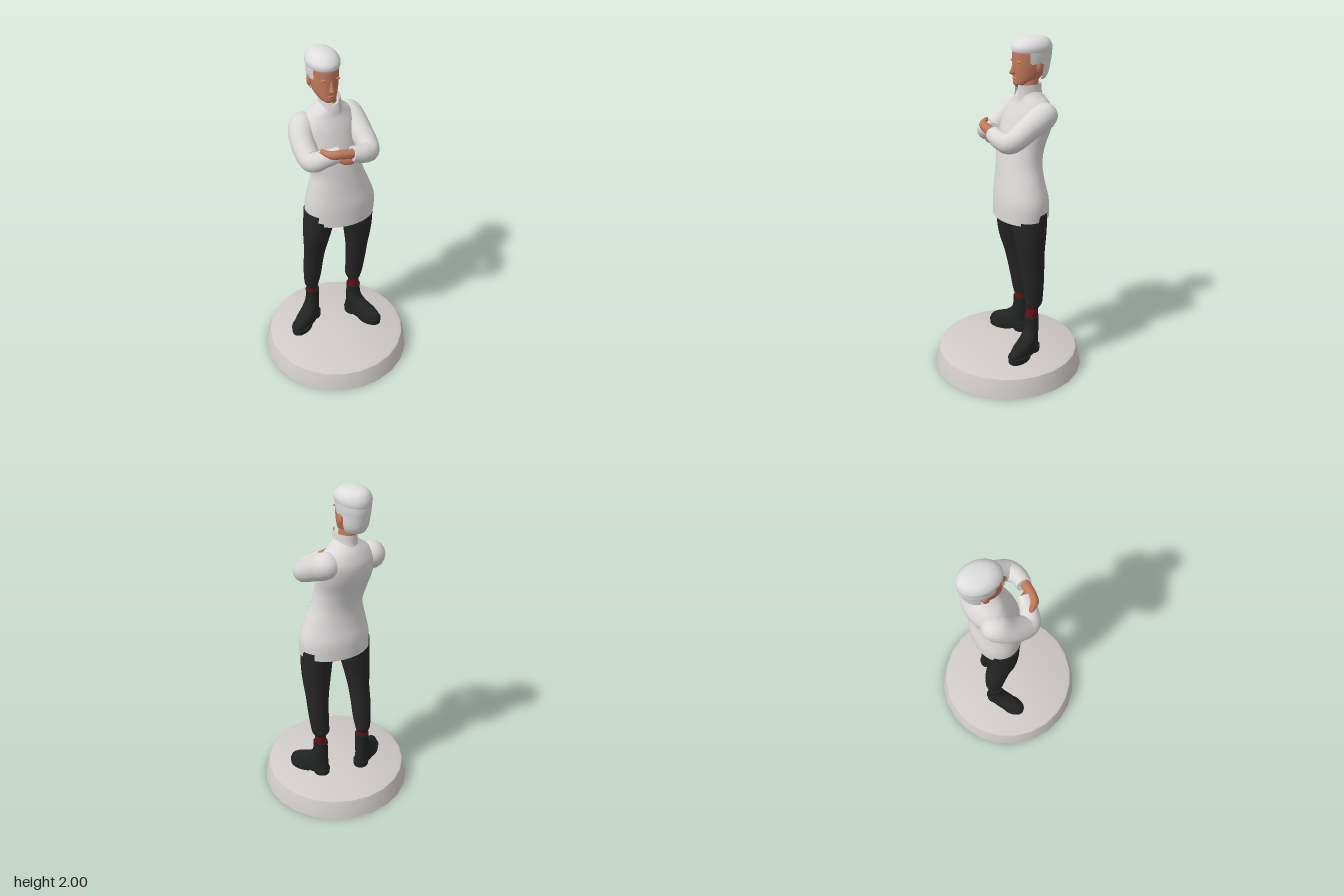
import * as THREE from 'three';
import { toCreasedNormals } from 'three/addons/utils/BufferGeometryUtils.js';

const paint = (name, color) => Object.assign(new THREE.MeshStandardMaterial({ color, side: THREE.DoubleSide }), { name });
const cloth = paint('white cloth', 0xdcdad9);
const hairGrey = paint('silver hair', 0xdedede);
const stone = paint('stone grey', 0xd0cbc9);
const skin = paint('skin', 0xc47a5c);
const black = paint('black cloth', 0x262626);
const leather = paint('black leather', 0x222323);
const red = paint('dark red', 0x6a1014);

function add(parent, name, geometry, material) {
  const mesh = new THREE.Mesh(geometry, material);
  mesh.name = name;
  parent.add(mesh);
  return mesh;
}

// Catmull-Rom interpolation of rows of numbers
function smooth(keys, n = 5) {
  const out = [];
  const at = i => keys[Math.max(0, Math.min(keys.length - 1, i))];
  for (let i = 0; i < keys.length - 1; i++) {
    for (let s = 0; s < n; s++) {
      const t = s / n;
      out.push(keys[i].map((p1, k) => {
        const p0 = at(i - 1)[k], p2 = at(i + 1)[k], p3 = at(i + 2)[k];
        return 0.5 * (2 * p1 + (p2 - p0) * t + (2 * p0 - 5 * p1 + 4 * p2 - p3) * t * t + (3 * p1 - p0 - 3 * p2 + p3) * t * t * t);
      }));
    }
  }
  out.push(keys[keys.length - 1]);
  return out;
}

// Surface through rings of points, optionally capped at both ends
function surface(rings, closed) {
  const pos = [], index = [], n = rings[0].length;
  rings.forEach(r => r.forEach(p => pos.push(p.x, p.y, p.z)));
  for (let i = 0; i < rings.length - 1; i++) {
    for (let j = 0; j < (closed ? n : n - 1); j++) {
      const a = i * n + j, b = i * n + (j + 1) % n;
      index.push(a, b, b + n, a, b + n, a + n);
    }
  }
  if (closed) {
    [rings[0], rings[rings.length - 1]].forEach((r, end) => {
      const start = pos.length / 3;
      const mid = r.reduce((m, p) => m.add(p), new THREE.Vector3()).divideScalar(n);
      [mid, ...r].forEach(p => pos.push(p.x, p.y, p.z));
      for (let j = 0; j < n; j++) {
        const a = start + 1 + j, b = start + 1 + (j + 1) % n;
        if (end) index.push(start, a, b); else index.push(start, b, a);
      }
    });
  }
  const g = new THREE.BufferGeometry();
  g.setAttribute('position', new THREE.Float32BufferAttribute(pos, 3));
  g.setIndex(index);
  g.computeVertexNormals();
  return g;
}

// Stack of ellipses [y, cx, cz, rx, rz, yaw]; from/to give a partial sweep in degrees from the front
function stack(keys, { from = 0, to = 360, grow = 0, segs = 28 } = {}) {
  const closed = to - from === 360;
  const rings = smooth(keys).map(([y, cx, cz, rx, rz, yaw = 0]) => {
    const ring = [], c = Math.cos(yaw), s = Math.sin(yaw);
    for (let j = 0; j < (closed ? segs : segs + 1); j++) {
      const t = THREE.MathUtils.degToRad(from + (to - from) * j / segs);
      const g = grow * (1 - j / segs);
      const x = (rx + g) * Math.sin(t), z = (rz + g) * Math.cos(t);
      ring.push(new THREE.Vector3(cx + c * x + s * z, y, cz - s * x + c * z));
    }
    return ring;
  });
  return surface(rings, closed);
}

// Round limb along points [x, y, z, radius]
function limb(keys, segs = 16) {
  const rows = smooth(keys), up = new THREE.Vector3(0, 1, 0);
  const v = r => new THREE.Vector3(r[0], r[1], r[2]);
  const rings = rows.map((row, i) => {
    const dir = v(rows[Math.min(i + 1, rows.length - 1)]).sub(v(rows[Math.max(i - 1, 0)])).normalize();
    const side = dir.clone().cross(up).normalize(), top = side.clone().cross(dir);
    return Array.from({ length: segs }, (_, j) => {
      const t = j / segs * Math.PI * 2;
      return v(row).addScaledVector(side, Math.cos(t) * row[3]).addScaledVector(top, Math.sin(t) * row[3]);
    });
  });
  return surface(rings, true);
}

function ball(parent, name, material, [x, y, z], [sx, sy, sz]) {
  const m = add(parent, name, new THREE.SphereGeometry(1, 16, 12), material);
  m.position.set(x, y, z);
  m.scale.set(sx, sy, sz);
  return m;
}

function buildBoot(parent, name, x, z, yaw) {
  const boot = new THREE.Group();
  boot.name = name;
  boot.position.set(x, 0, z);
  boot.rotation.y = yaw;
  add(boot, 'bootUpper', stack([
    [0.14, 0, 0.077, 0.052, 0.134], [0.17, 0, 0.077, 0.053, 0.134], [0.2, 0, 0.066, 0.049, 0.118],
    [0.23, 0, 0.03, 0.045, 0.08], [0.27, 0, 0.006, 0.042, 0.053], [0.32, 0, 0, 0.041, 0.045], [0.36, 0, 0, 0.042, 0.045],
  ]), leather);
  add(boot, 'frontSole', stack([[0.121, 0, 0.128, 0.054, 0.086], [0.155, 0, 0.126, 0.058, 0.09]]), leather);
  add(boot, 'heelSole', stack([[0.121, 0, -0.006, 0.045, 0.05], [0.155, 0, -0.004, 0.047, 0.056]]), leather);
  parent.add(boot);
}

function buildHead(parent) {
  const head = new THREE.Group();
  head.name = 'head';
  head.position.set(-0.085, 0, -0.12);
  head.rotation.y = 0.56;
  add(head, 'face', stack([
    [1.728, 0, 0.062, 0.022, 0.03], [1.745, 0, 0.05, 0.044, 0.056], [1.78, 0, 0.02, 0.065, 0.086],
    [1.83, 0, 0.008, 0.075, 0.1], [1.88, 0, 0, 0.079, 0.109], [1.93, 0, 0, 0.077, 0.104], [1.97, 0, -0.01, 0.055, 0.075],
  ]), skin);
  add(head, 'nose', stack([
    [1.798, 0, 0.106, 0.011, 0.016], [1.808, 0, 0.109, 0.016, 0.025], [1.83, 0, 0.105, 0.011, 0.018], [1.865, 0, 0.1, 0.008, 0.01],
  ], { segs: 12 }), skin);
  ball(head, 'lips', skin, [0, 1.772, 0.1], [0.022, 0.008, 0.01]);
  for (const s of [-1, 1]) {
    ball(head, 'ear', skin, [s * 0.08, 1.835, -0.012], [0.01, 0.032, 0.02]);
    ball(head, 'brow', skin, [s * 0.032, 1.868, 0.093], [0.026, 0.007, 0.01]);
  }
  // Hair: swept top, temples and nape
  add(head, 'hairTop', stack([
    [1.912, 0, -0.01, 0.084, 0.113], [1.925, 0, -0.008, 0.09, 0.119], [1.95, 0, -0.008, 0.09, 0.117],
    [1.977, 0, -0.014, 0.074, 0.097], [1.993, 0, -0.02, 0.048, 0.066], [2.0, 0, -0.022, 0.012, 0.02],
  ]), hairGrey);
  add(head, 'hairTemples', stack([
    [1.855, 0, -0.01, 0.081, 0.108], [1.89, 0, -0.01, 0.086, 0.114], [1.93, 0, -0.008, 0.089, 0.116],
  ], { from: 62, to: 298 }), hairGrey);
  add(head, 'hairNape', stack([
    [1.765, 0, -0.01, 0.06, 0.078], [1.8, 0, -0.01, 0.077, 0.096], [1.87, 0, -0.01, 0.084, 0.111],
  ], { from: 105, to: 255 }), hairGrey);
  parent.add(head);
}

export function createModel() {
  const model = new THREE.Group();
  model.name = 'standingFigure';

  // Hollow round base
  const profile = [[0.452, 0], [0.43, 0.1], [0.424, 0.113], [0.41, 0.12], [0, 0.12]].map(p => new THREE.Vector2(...p));
  add(model, 'base', toCreasedNormals(new THREE.LatheGeometry(profile, 24), 0.6), stone).rotation.y = -0.03;

  // Trousers, socks and boots
  add(model, 'rightTrouserLeg', stack([
    [1.04, -0.095, -0.025, 0.1, 0.105], [0.9, -0.112, -0.022, 0.088, 0.098], [0.8, -0.125, -0.025, 0.076, 0.087],
    [0.7, -0.137, -0.04, 0.064, 0.074], [0.6, -0.15, -0.055, 0.06, 0.068], [0.5, -0.158, -0.065, 0.055, 0.06],
    [0.42, -0.165, -0.07, 0.046, 0.052], [0.39, -0.163, -0.068, 0.037, 0.041],
  ].reverse()), black);
  add(model, 'leftTrouserLeg', stack([
    [1.04, 0.105, -0.125, 0.098, 0.11], [0.9, 0.111, -0.133, 0.09, 0.097], [0.8, 0.111, -0.14, 0.08, 0.083],
    [0.7, 0.108, -0.148, 0.068, 0.074], [0.6, 0.103, -0.155, 0.062, 0.066], [0.5, 0.095, -0.16, 0.056, 0.056],
    [0.45, 0.09, -0.16, 0.052, 0.051], [0.42, 0.092, -0.152, 0.039, 0.041],
  ].reverse()), black);
  add(model, 'rightSock', stack([[0.33, -0.162, -0.067, 0.034, 0.038], [0.42, -0.163, -0.068, 0.033, 0.037]]), red);
  add(model, 'leftSock', stack([[0.33, 0.092, -0.15, 0.034, 0.037], [0.45, 0.092, -0.152, 0.034, 0.037]]), red);
  buildBoot(model, 'rightBoot', -0.162, -0.067, -0.4);
  buildBoot(model, 'leftBoot', 0.092, -0.15, 1.05);

  // Coat body, with an overlapping front flap
  const coat = [
    [1.0, 0.008, -0.078, 0.21, 0.15, 0.45], [1.1, 0.01, -0.078, 0.207, 0.148, 0.45], [1.2, 0.005, -0.07, 0.18, 0.132, 0.48],
    [1.3, -0.005, -0.067, 0.152, 0.122, 0.55], [1.4, -0.03, -0.075, 0.155, 0.125, 0.62], [1.5, -0.05, -0.1, 0.168, 0.128, 0.66],
    [1.58, -0.06, -0.115, 0.17, 0.118, 0.66], [1.64, -0.06, -0.12, 0.135, 0.095, 0.66], [1.68, -0.055, -0.115, 0.085, 0.078, 0.62],
    [1.71, -0.05, -0.11, 0.055, 0.06, 0.6],
  ];
  add(model, 'coat', stack(coat, { segs: 40 }), cloth);
  const flap = [[0.985, ...coat[0].slice(1)], ...coat.slice(1, 8)];
  add(model, 'coatFlap', stack(flap, { from: -38, to: 60, grow: 0.008 }), cloth);
  add(model, 'collar', stack([
    [1.66, -0.052, -0.112, 0.074, 0.084, 0.6], [1.7, -0.05, -0.11, 0.061, 0.08, 0.6], [1.745, -0.05, -0.11, 0.057, 0.078, 0.6],
  ], { from: 16, to: 340 }), cloth);
  add(model, 'neck', stack([[1.64, -0.05, -0.11, 0.047, 0.055, 0.6], [1.79, -0.07, -0.115, 0.046, 0.055, 0.6]]), skin);

  // Folded arms
  add(model, 'leftSleeve', limb([
    [0.025, 1.59, -0.212, 0.055], [0.05, 1.58, -0.2, 0.076], [0.11, 1.53, -0.13, 0.07], [0.168, 1.475, -0.055, 0.062],
    [0.178, 1.46, -0.012, 0.058], [0.148, 1.473, 0.038, 0.051], [0.095, 1.49, 0.075, 0.044],
  ]), cloth);
  add(model, 'rightSleeve', limb([
    [-0.18, 1.59, -0.07, 0.06], [-0.192, 1.575, -0.04, 0.078], [-0.18, 1.52, 0.03, 0.07], [-0.137, 1.465, 0.1, 0.065],
    [-0.1, 1.457, 0.128, 0.059], [-0.04, 1.475, 0.115, 0.05], [0.03, 1.49, 0.085, 0.043],
  ]), cloth);
  ball(model, 'leftShoulder', cloth, [0.045, 1.585, -0.205], [0.075, 0.073, 0.075]);
  ball(model, 'rightShoulder', cloth, [-0.192, 1.578, -0.045], [0.077, 0.073, 0.077]);
  add(model, 'leftHand', limb([
    [0.105, 1.493, 0.075, 0.028], [0.04, 1.508, 0.118, 0.027], [-0.01, 1.515, 0.14, 0.023], [-0.068, 1.53, 0.128, 0.012],
  ], 10), skin);
  add(model, 'rightHand', limb([
    [0.02, 1.482, 0.09, 0.032], [0.065, 1.462, 0.1, 0.026], [0.105, 1.45, 0.088, 0.014],
  ], 10), skin);

  buildHead(model);
  return model;
}
